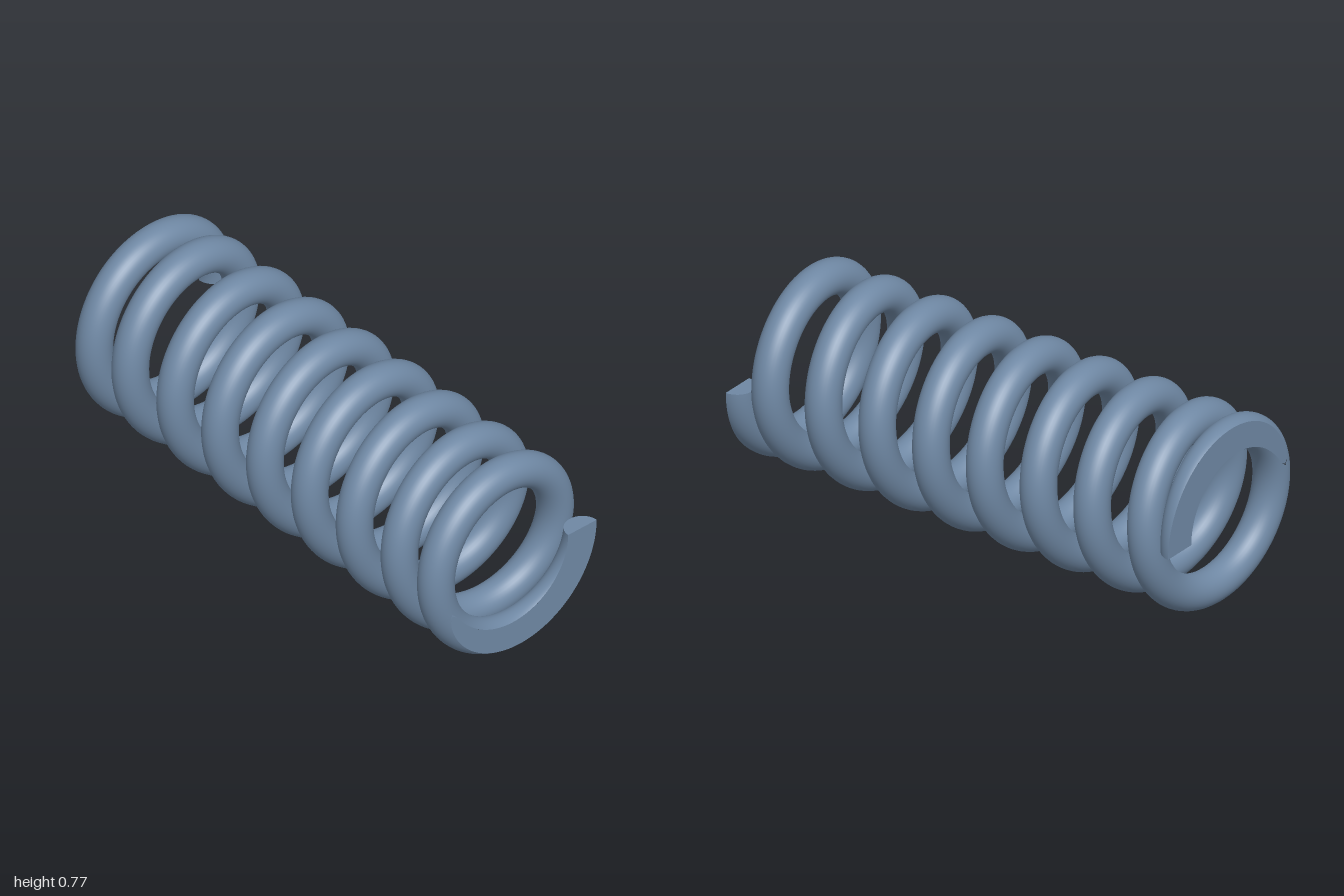
import * as THREE from 'three';

const COIL_R = 0.316, WIRE_R = 0.068, CENTRE_Y = 0.385, HALF_TURNS = 4.5;
const STEPS_PER_TURN = 96, SIDES = 36;
const material = new THREE.MeshStandardMaterial({ color: 0x6f88a4 });

// Wire centre along the axis: a tighter closed end turn, then an even pitch
const PITCH = 0.243, FIRST_DROP = 1 - (HALF_TURNS - 1) * PITCH;
const centreZ = t => (t < 1 ? 1 - FIRST_DROP * t : (HALF_TURNS - t) * PITCH);

// Angle on the wire section where the ground end plane (z = 1) cuts it
const cutAngle = t => Math.acos(Math.min(1, (1 - centreZ(t)) / WIRE_R));

// Grid surface following the coil; sample(t, v) gives [radius, z, radial normal, z normal]
function coilStrip(turns, cols, sample) {
  const rows = Math.round(turns * STEPS_PER_TURN);
  const pos = [], nor = [], idx = [];
  for (let i = 0; i <= rows; i++) {
    const t = (turns * i) / rows, a = -2 * Math.PI * t;
    const c = Math.cos(a), s = Math.sin(a);
    for (let j = 0; j <= cols; j++) {
      const [rad, z, nr, nz] = sample(t, j / cols);
      pos.push(rad * c, rad * s, z);
      nor.push(nr * c, nr * s, nz);
      if (i < rows && j < cols) {
        const p = i * (cols + 1) + j, q = p + cols + 1;
        idx.push(p, q, p + 1, q, q + 1, p + 1);
      }
    }
  }
  const g = new THREE.BufferGeometry();
  g.setAttribute('position', new THREE.Float32BufferAttribute(pos, 3));
  g.setAttribute('normal', new THREE.Float32BufferAttribute(nor, 3));
  g.setIndex(idx);
  return g;
}

function part(name, geometry) {
  const mesh = new THREE.Mesh(geometry, material);
  mesh.name = name;
  return mesh;
}

function halfSpring(name) {
  const half = new THREE.Group();
  half.name = name;

  // Round wire, open where the end is ground away
  half.add(part('coilWire', coilStrip(HALF_TURNS, SIDES, (t, v) => {
    const p0 = cutAngle(t), p = p0 + (2 * Math.PI - 2 * p0) * v;
    const nr = Math.sin(p), nz = Math.cos(p);
    return [COIL_R + WIRE_R * nr, centreZ(t) + WIRE_R * nz, nr, nz];
  })));

  // Flat ground face, tapering away as the wire leaves the end plane
  const flatTurns = WIRE_R / FIRST_DROP;
  half.add(part('groundFace', coilStrip(flatTurns, 1, (t, v) => {
    const w = WIRE_R * Math.sin(cutAngle(t));
    return [COIL_R + w * (2 * v - 1), 1, 0, 1];
  })));

  // Half-round cut end of the wire
  const cap = part('wireEnd', new THREE.CircleGeometry(WIRE_R, SIDES, 0, Math.PI));
  cap.rotation.x = -Math.PI / 2;
  cap.position.set(COIL_R, 0, 1);
  half.add(cap);
  return half;
}

export function createModel() {
  const spring = new THREE.Group();
  spring.name = 'compressionSpring';

  // The back half is the front half turned about the x axis
  const front = halfSpring('frontHalf');
  const back = halfSpring('backHalf');
  back.rotation.x = Math.PI;
  for (const half of [front, back]) {
    half.position.y = CENTRE_Y;
    spring.add(half);
  }
  return spring;
}
